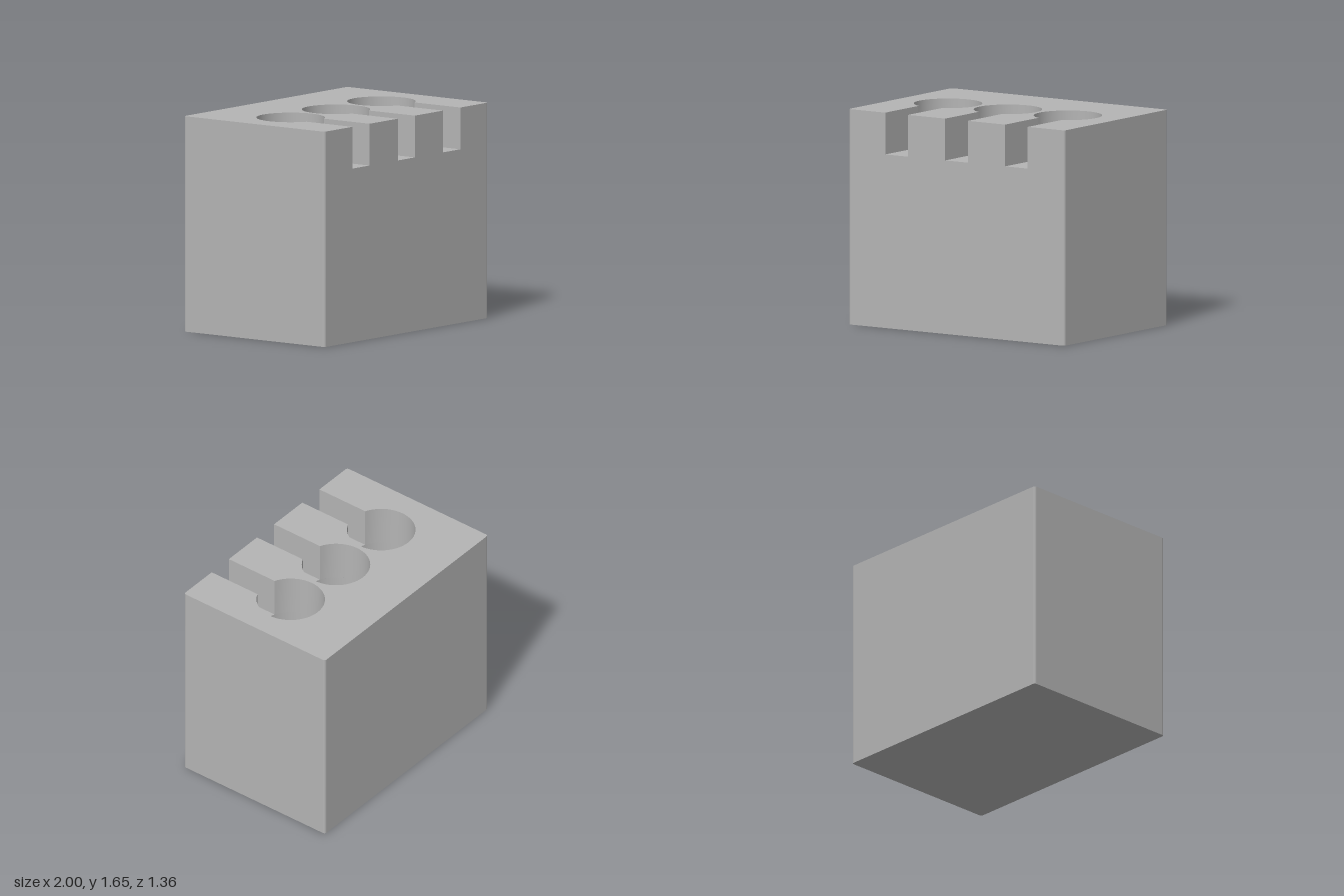
import * as THREE from 'three';

const W = 1, D = 0.68, H = 1.65;          // half width, half depth, height
const CORNER = 0.02;                      // rounded upright edges
const R = 0.26, S = 0.105;                // hole radius, half slot width
const SLOT_Y = 1.33, HOLE_Y = 0.2;        // slot floor and hole floor heights
const CENTRES = [-0.555, 0, 0.555];
const MOUTH = Math.sqrt(R * R - S * S);   // where a slot meets its hole
const A0 = Math.atan2(-MOUTH, -S), A1 = Math.atan2(-MOUTH, S);
const SEG = 24;

// Plans are drawn with shape x = x and shape y = -z.
// Upright wall along a plan path, facing right of its direction.
function wall(points, y0, y1) {
  const pos = [], index = [];
  points.forEach((p, i) => {
    pos.push(p.x, y0, -p.y, p.x, y1, -p.y);
    if (i > 0) {
      const a = 2 * i - 2;
      index.push(a, a + 2, a + 3, a, a + 3, a + 1);
    }
  });
  const g = new THREE.BufferGeometry();
  g.setAttribute('position', new THREE.Float32BufferAttribute(pos, 3));
  g.setIndex(index);
  g.computeVertexNormals();
  return g;
}

const line = (x0, y0, x1, y1) => [new THREE.Vector2(x0, y0), new THREE.Vector2(x1, y1)];

function arc(x, y, r, from, to, clockwise, n = SEG) {
  return new THREE.Path().absarc(x, y, r, from, to, clockwise).getPoints(n);
}

// Horizontal face at height y, facing up
const level = (shape, y) =>
  new THREE.ShapeGeometry(shape, SEG).rotateX(-Math.PI / 2).translate(0, y, 0);

// Block plan, optionally with the keyhole cutouts
function plan(cut) {
  const s = new THREE.Shape();
  const x = W - CORNER, y = D - CORNER, q = Math.PI / 2;
  s.moveTo(-x, -D);
  if (cut) for (const c of CENTRES) {
    s.lineTo(c - S, -D);
    s.lineTo(c - S, -MOUTH);
    s.absarc(c, 0, R, A0, A1, true);
    s.lineTo(c + S, -D);
  }
  s.lineTo(x, -D);
  s.absarc(x, -y, CORNER, -q, 0, false);
  s.absarc(x, y, CORNER, 0, q, false);
  s.absarc(-x, y, CORNER, q, 2 * q, false);
  s.absarc(-x, -y, CORNER, 2 * q, 3 * q, false);
  return s;
}

export function createModel() {
  const group = new THREE.Group();
  const grey = new THREE.MeshStandardMaterial({ color: 0xb4b4b4 });
  grey.name = 'grey';

  function add(name, geometry) {
    const mesh = new THREE.Mesh(geometry, grey);
    mesh.name = name;
    group.add(mesh);
  }

  // Top and bottom
  add('topFace', level(plan(true), H));
  add('bottomFace', new THREE.ShapeGeometry(plan(false), SEG).rotateX(Math.PI / 2));

  // Front face with slot notches
  const x = W - CORNER, z = D - CORNER;
  const front = new THREE.Shape();
  front.moveTo(-x, 0);
  front.lineTo(x, 0);
  front.lineTo(x, H);
  for (const c of [...CENTRES].reverse()) {
    front.lineTo(c + S, H);
    front.lineTo(c + S, SLOT_Y);
    front.lineTo(c - S, SLOT_Y);
    front.lineTo(c - S, H);
  }
  front.lineTo(-x, H);
  add('frontFace', new THREE.ShapeGeometry(front).translate(0, 0, D));

  // Plain sides and rounded upright edges
  add('leftFace', wall(line(W, -z, W, z), 0, H));
  add('backFace', wall(line(x, D, -x, D), 0, H));
  add('rightFace', wall(line(-W, z, -W, -z), 0, H));
  [[x, -z], [x, z], [-x, z], [-x, -z]].forEach(([cx, cy], i) => {
    const a = (i - 1) * Math.PI / 2;
    add('roundedEdge', wall(arc(cx, cy, CORNER, a, a + Math.PI / 2, false), 0, H));
  });

  // Round holes, each opened to the front by a slot
  for (const c of CENTRES) {
    add('slotWall', wall(line(c - S, -D, c - S, -MOUTH), SLOT_Y, H));
    add('slotWall', wall(line(c + S, -MOUTH, c + S, -D), SLOT_Y, H));
    add('upperHoleWall', wall(arc(c, 0, R, A0, A1, true), SLOT_Y, H));
    add('lowerHoleWall', wall(arc(c, 0, R, Math.PI * 2, 0, true), HOLE_Y, SLOT_Y));

    const slot = new THREE.Shape();
    slot.moveTo(c - S, -D);
    slot.lineTo(c + S, -D);
    slot.lineTo(c + S, -MOUTH);
    slot.absarc(c, 0, R, A1, A0, true);
    add('slotFloor', level(slot, SLOT_Y));

    const floor = new THREE.CircleGeometry(R, SEG * 2).rotateX(-Math.PI / 2);
    add('holeFloor', floor.translate(c, HOLE_Y, 0));
  }
  return group;
}
